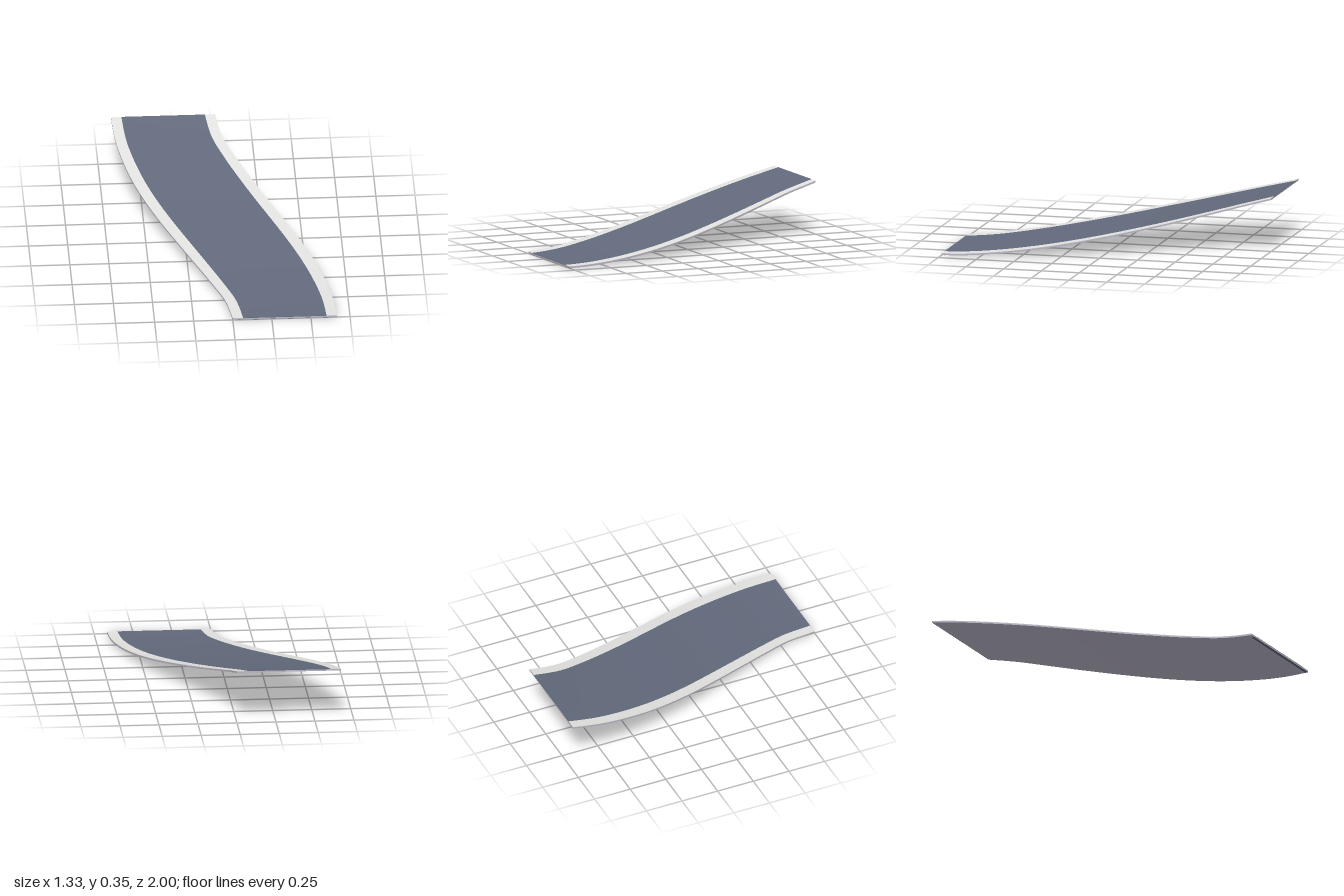
import * as THREE from 'three';

const STEPS = 60;

// Left edge in plan (x, z) from back to front; the right edge is its half-turn
const EDGE_X = [0, 0.037, 0.118, 0.21, 0.305, 0.4, 0.487, 0.56, 0.615, 0.652, 0.667];
const edge = new THREE.SplineCurve(EDGE_X.map((x, i) => new THREE.Vector2(x, -1 + i * 0.2)));

// Point on the ramp: t along it, u across it (-1 to 1), h above the underside
function rampPoint(t, u, h) {
  const left = edge.getPoint(t);
  const right = edge.getPoint(1 - t).negate();
  const p = right.lerp(left, (u + 1) / 2);
  const z = p.y;
  const rise = Math.pow(Math.max(0, (1 - z) / 2), 1.5) / 3;
  const bank = -0.011 * u * (1 - z * z);
  return [p.x, rise + bank + h, z];
}

// Closed strip with a rectangular section, swept along the ramp
function sweptStrip(u0, u1, h0, h1, start = 0) {
  const corners = [[u0, h0], [u1, h0], [u1, h1], [u0, h1]];
  const positions = [];
  const indices = [];
  // Four long faces, each with its own vertices so the edges stay sharp
  for (let c = 0; c < 4; c++) {
    const base = positions.length / 3;
    for (let i = 0; i <= STEPS; i++) {
      const t = start + (1 - start) * i / STEPS;
      for (const [u, h] of [corners[c], corners[(c + 1) % 4]]) {
        positions.push(...rampPoint(t, u, h));
      }
      if (i < STEPS) {
        const a = base + i * 2;
        indices.push(a, a + 1, a + 2, a + 1, a + 3, a + 2);
      }
    }
  }
  // End caps
  for (const t of [start, 1]) {
    const b = positions.length / 3;
    for (const [u, h] of corners) positions.push(...rampPoint(t, u, h));
    if (t === 1) indices.push(b, b + 1, b + 2, b, b + 2, b + 3);
    else indices.push(b, b + 2, b + 1, b, b + 3, b + 2);
  }
  const geometry = new THREE.BufferGeometry();
  geometry.setAttribute('position', new THREE.Float32BufferAttribute(positions, 3));
  geometry.setIndex(indices);
  geometry.computeVertexNormals();
  return geometry;
}

function material(name, color) {
  const m = new THREE.MeshStandardMaterial({ color });
  m.name = name;
  return m;
}

export function createModel() {
  const asphalt = material('asphalt', 0x626a7c);
  const concrete = material('paleConcrete', 0xe2e2e0);
  const slab = material('slabLilacGrey', 0xbab6c6);

  const group = new THREE.Group();
  group.name = 'curvedRoadRamp';
  const add = (name, geometry, mat) => {
    const mesh = new THREE.Mesh(geometry, mat);
    mesh.name = name;
    group.add(mesh);
  };

  // Supporting slab, road surface and the two kerbs
  add('baseSlab', sweptStrip(-1, 1, 0.001, 0.011), slab);
  add('roadSurface', sweptStrip(-0.8, 0.8, 0.011, 0.0135), asphalt);
  add('rightKerb', sweptStrip(-1, -0.8, 0.011, 0.0135), concrete);
  add('leftKerb', sweptStrip(0.8, 1, 0.011, 0.0135), concrete);
  // Dark lip beneath the front end
  add('frontLip', sweptStrip(-0.9, 1, 0, 0.001, 0.985), asphalt);
  return group;
}
